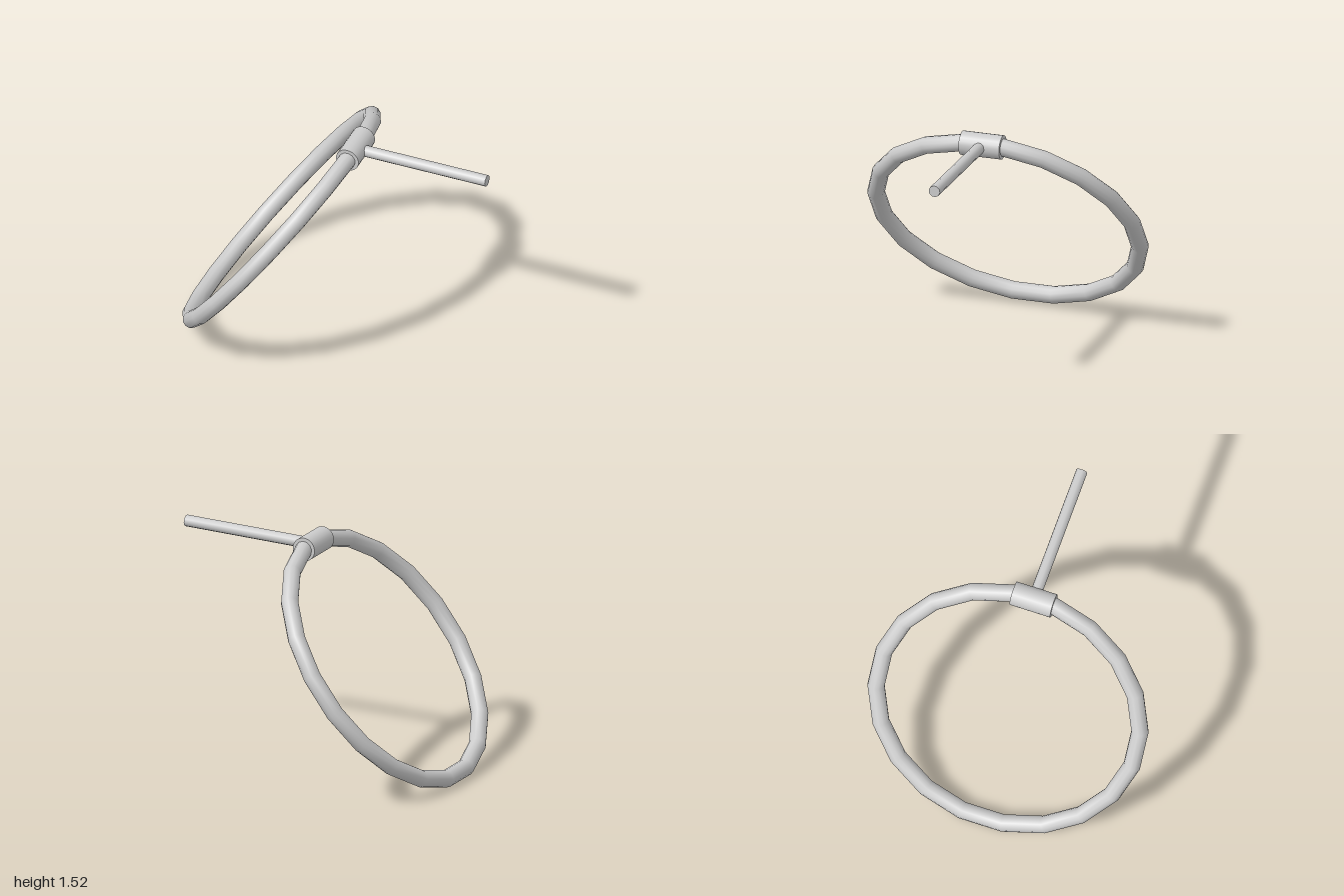
import * as THREE from 'three';

const RING_R = 0.87, TUBE_R = 0.056, SIDES = 20;
const STEP = (Math.PI * 2) / SIDES;

export function createModel() {
  const group = new THREE.Group();
  const material = new THREE.MeshStandardMaterial({ color: 0xcccccc });

  const add = (name, geometry) => {
    const mesh = new THREE.Mesh(geometry, material);
    mesh.name = name;
    group.add(mesh);
    return mesh;
  };

  // Straight rod between two points
  const rod = (name, from, to, radius, sides) => {
    const dir = to.clone().sub(from);
    const mesh = add(name, new THREE.CylinderGeometry(radius, radius, dir.length(), sides));
    mesh.position.copy(from).add(to).multiplyScalar(0.5);
    mesh.quaternion.setFromUnitVectors(new THREE.Vector3(0, 1, 0), dir.normalize());
    return mesh;
  };

  // Tilted plane of the ring: centre, direction to the collar, collar axis, normal
  const centre = new THREE.Vector3(-0.418, 0.75, 0);
  const axis = new THREE.Vector3(0.157, 0, 0.988).normalize();
  const up = new THREE.Vector3(0.503, 0.693, -0.09);
  up.addScaledVector(axis, -up.dot(axis)).normalize();
  const normal = new THREE.Vector3().crossVectors(up, axis);

  // Ring, turned half a segment so one straight side runs through the collar
  const torus = new THREE.TorusGeometry(RING_R, TUBE_R, 12, SIDES);
  torus.rotateZ(STEP / 2);
  torus.applyMatrix4(new THREE.Matrix4().makeBasis(up, axis, normal).setPosition(centre));
  add('ring', torus);

  // Collar wrapped around the top side of the ring
  const hub = centre.clone().addScaledVector(up, RING_R * Math.cos(STEP / 2));
  const half = RING_R * Math.sin(STEP / 2);
  rod('collar', hub.clone().addScaledVector(axis, -half), hub.clone().addScaledVector(axis, half), 0.078, 20);

  // Post reaching sideways from the collar
  rod('post', hub, new THREE.Vector3(0.992, 1.46, -0.208), 0.038, 10);

  return group;
}
